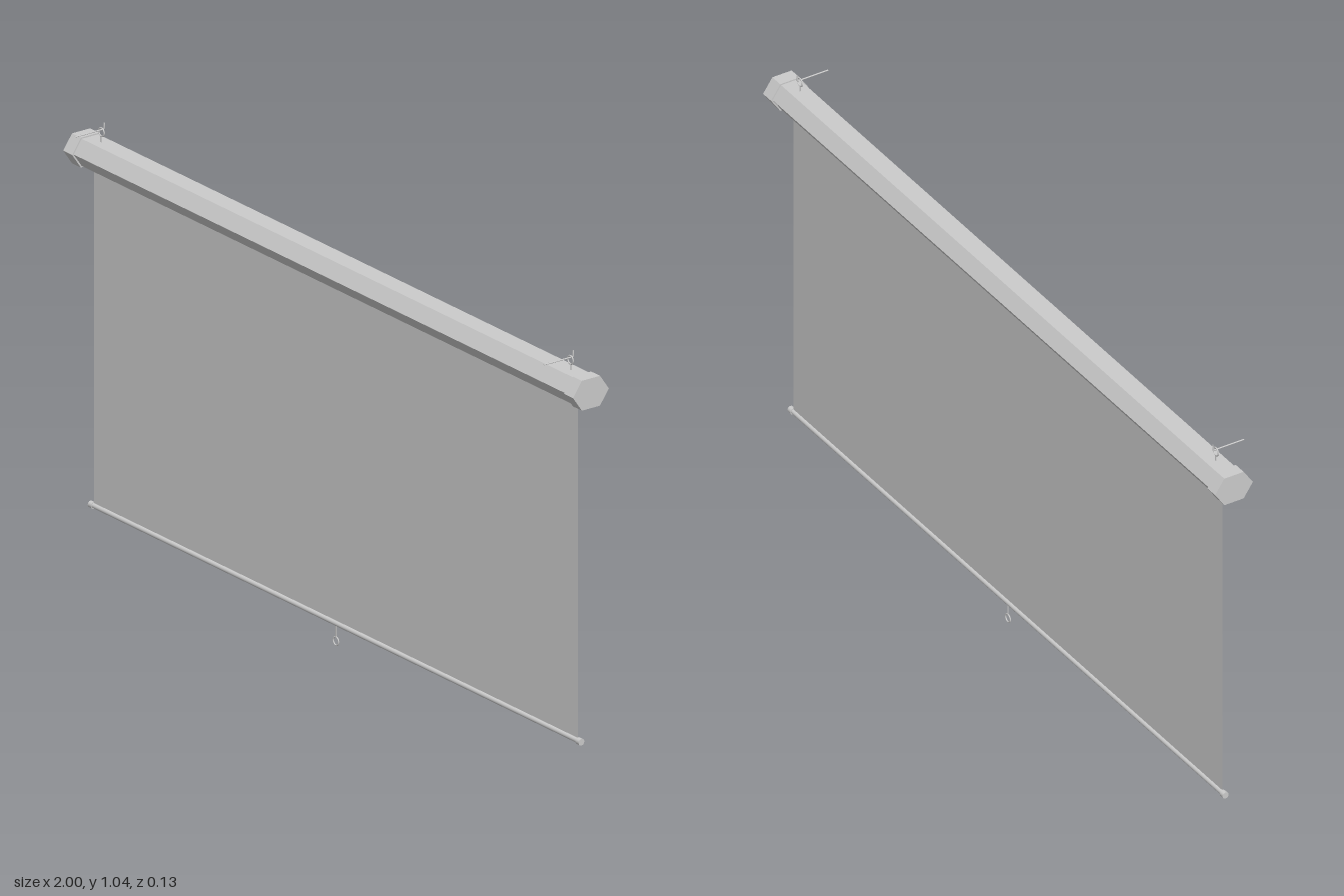
import * as THREE from 'three';

const Z = -0.0125; // plane of the hanging screen
const material = new THREE.MeshStandardMaterial({ color: 0xcccccc, flatShading: true });
const smooth = new THREE.MeshStandardMaterial({ color: 0xcccccc });
const sheet = new THREE.MeshStandardMaterial({ color: 0xcccccc, side: THREE.DoubleSide });

function add(parent, name, geometry, mat, x = 0, y = 0, z = 0) {
  const mesh = new THREE.Mesh(geometry, mat);
  mesh.name = name;
  mesh.position.set(x, y, z);
  parent.add(mesh);
  return mesh;
}

// Flattened hexagonal prism lying along x, centred on the origin
function hexPrism(length, scale) {
  const w = 0.053 * scale, t = 0.027 * scale, h = 0.038 * scale;
  const shape = new THREE.Shape(
    [[w, 0], [t, h], [-t, h], [-w, 0], [-t, -h], [t, -h]].map(p => new THREE.Vector2(...p)));
  return new THREE.ExtrudeGeometry(shape, { depth: length, bevelEnabled: false })
    .translate(0, 0, -length / 2).rotateY(Math.PI / 2);
}

// Cylinder lying along x
const bar = (radius, length) =>
  new THREE.CylinderGeometry(radius, radius, length, 16).rotateZ(Math.PI / 2);

// Ring with a straight shank reaching from its edge to the given offset
function eyelet(name, x, y, shankEnd) {
  const group = new THREE.Group();
  group.name = name;
  group.position.set(x, y, Z);
  add(group, 'eyeRing', new THREE.TorusGeometry(0.0105, 0.0018, 8, 24), smooth);
  const start = Math.sign(shankEnd) * 0.0105;
  add(group, 'eyeShank', new THREE.CylinderGeometry(0.0018, 0.0018, Math.abs(shankEnd - start), 8),
    smooth, 0, (start + shankEnd) / 2);
  return group;
}

export function createModel() {
  const model = new THREE.Group();
  model.name = 'pullDownScreen';

  // Housing
  add(model, 'housing', hexPrism(1.94, 0.91), material, 0, 0.958, Z);

  // Screen sheet and weighted bottom bar
  add(model, 'screenSheet', new THREE.PlaneGeometry(1.9, 0.87), sheet, 0, 0.493, Z);
  add(model, 'bottomBar', bar(0.0065, 1.9), smooth, 0, 0.058, Z);

  for (const side of [-1, 1]) {
    add(model, 'endCap', hexPrism(0.035, 1), material, side * 0.9825, 0.958, Z);
    add(model, 'barKnob', bar(0.0085, 0.013), smooth, side * 0.9565, 0.058, Z);

    // Hanging eye with the bent wall hook passing through it
    model.add(eyelet('hangingEye', side * 0.92, 1.018, -0.03));
    const bend = new THREE.CurvePath();
    const p = [[1.024, 0.066], [1.024, -0.015], [1.025, -0.02], [1.04, -0.021]]
      .map(([y, z]) => new THREE.Vector3(0, y, z));
    bend.add(new THREE.LineCurve3(p[0], p[1]));
    bend.add(new THREE.QuadraticBezierCurve3(p[1], new THREE.Vector3(0, 1.024, -0.02), p[2]));
    bend.add(new THREE.LineCurve3(p[2], p[3]));
    add(model, 'wallHook', new THREE.TubeGeometry(bend, 40, 0.0018, 8), sheet, side * 0.92);
  }

  // Pull ring below the bar
  model.add(eyelet('pullRing', 0, 0.0123, 0.042));
  return model;
}
